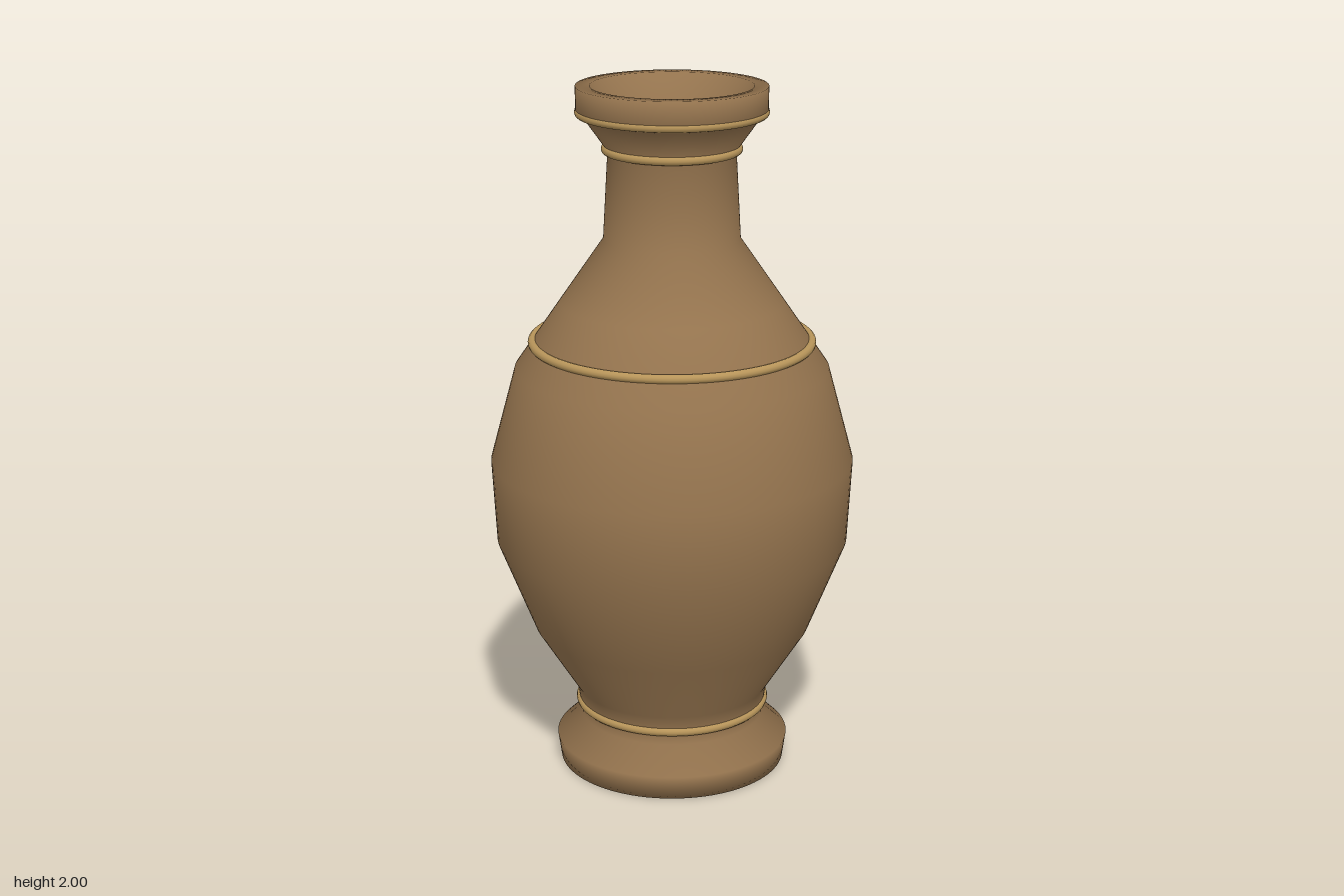
import * as THREE from 'three';

const clay = new THREE.MeshStandardMaterial({ color: 0x96754f });
const gilt = new THREE.MeshStandardMaterial({ color: 0xb8955a });
const SEGMENTS = 96;

// Closed profile [radius, height]: under the foot, up the outside, over the lip, down the inside
const outside = [
  [0, 0], [0.33, 0], [0.34, 0.07], [0.267, 0.14], [0.28, 0.23],
  [0.4, 0.42], [0.507, 0.69], [0.52, 0.93], [0.447, 1.2], [0.317, 1.39],
  [0.193, 1.57], [0.179, 1.82], [0.243, 1.91], [0.267, 1.93], [0.267, 2],
];
const inside = [
  [0.227, 2], [0.19, 1.9], [0.135, 1.8], [0.14, 1.57], [0.27, 1.39],
  [0.4, 1.2], [0.47, 0.93], [0.457, 0.69], [0.35, 0.42], [0.22, 0.23], [0, 0.2],
];

// Decorative bands: [name, height, ring radius]
const bands = [
  ['footBand', 0.182, 0.27],
  ['shoulderBand', 1.275, 0.396],
  ['neckBand', 1.825, 0.184],
  ['lipBand', 1.928, 0.257],
];

export function createModel() {
  const vase = new THREE.Group();
  vase.name = 'vase';

  const profile = [...outside, ...inside].map(([r, y]) => new THREE.Vector2(r, y));
  const body = new THREE.Mesh(new THREE.LatheGeometry(profile, SEGMENTS), clay);
  body.name = 'body';
  vase.add(body);

  for (const [name, y, radius] of bands) {
    const band = new THREE.Mesh(new THREE.TorusGeometry(radius, 0.013, 12, SEGMENTS), gilt);
    band.name = name;
    band.rotation.x = Math.PI / 2;
    band.position.y = y;
    vase.add(band);
  }
  return vase;
}
